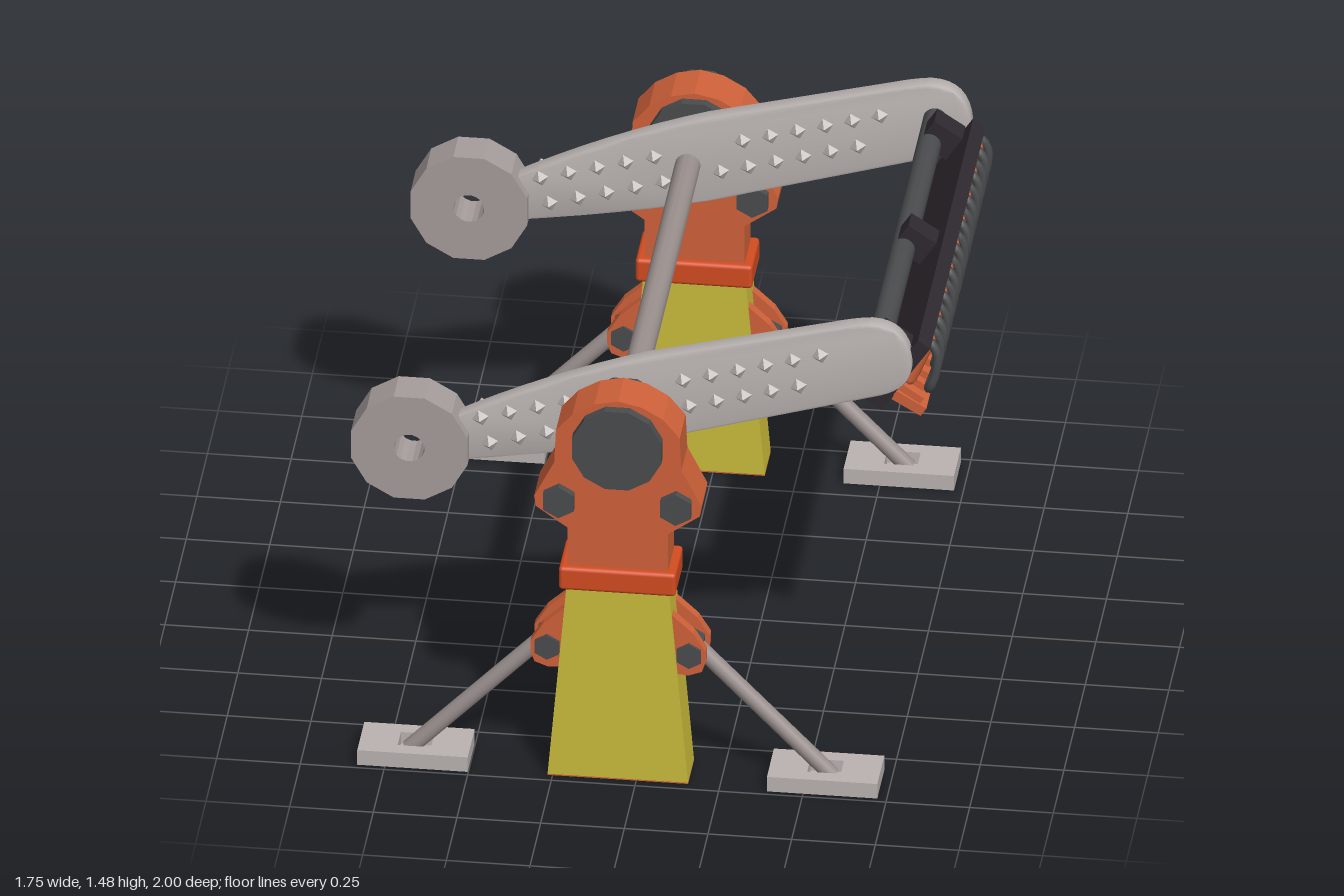
import * as THREE from 'three';
import { toCreasedNormals } from 'three/addons/utils/BufferGeometryUtils.js';
import { RoundedBoxGeometry } from 'three/addons/geometries/RoundedBoxGeometry.js';

const mat = (name, color) => {
  const m = new THREE.MeshStandardMaterial({ color });
  m.name = name;
  return m;
};
const M = {
  yellow: mat('yellow', 0xcabb3b),
  orange: mat('orange', 0xd0623a),
  collar: mat('redOrange', 0xd44c20),
  dark: mat('darkGrey', 0x4a4c4d),
  black: mat('black', 0x2f292f),
  light: mat('lightGrey', 0xbab3b1),
  steel: mat('steel', 0x9a908e),
  weight: mat('weightGrey', 0xa59d9b),
};

const PX = -0.055, PY = 1.15; // pivot of the swinging arms
const TILT = -0.585;          // tilt of the seat row

function add(parent, name, geo, material, x = 0, y = 0, z = 0, rz = 0) {
  const m = new THREE.Mesh(geo, material);
  m.name = name;
  m.position.set(x, y, z);
  m.rotation.z = rz;
  parent.add(m);
  return m;
}
const shapeOf = (pts) => new THREE.Shape(pts.map(([x, y]) => new THREE.Vector2(x, y)));
// Extrude a shape, centred on z = 0
function slab(shape, depth, bevel = 0) {
  const g = new THREE.ExtrudeGeometry(shape, {
    depth: depth - 2 * bevel, bevelEnabled: bevel > 0, bevelSize: bevel,
    bevelThickness: bevel, bevelOffset: -bevel, bevelSegments: 2, curveSegments: 8,
  });
  return g.translate(0, 0, -(depth - 2 * bevel) / 2);
}
// Cylinder lying along z; few sides stay faceted
function zCylinder(r, length, sides) {
  const g = new THREE.CylinderGeometry(r, r, length, sides, 1, false, Math.PI / sides);
  return toCreasedNormals(g.rotateX(Math.PI / 2), 0.5);
}
const ngon = (r, n) => Array.from({ length: n }, (_, i) => {
  const a = ((i + 0.5) / n) * Math.PI * 2;
  return [r * Math.cos(a), r * Math.sin(a)];
});
// Round bar between two points
function bar(parent, name, a, b, r, material) {
  const d = b.clone().sub(a);
  const m = add(parent, name, new THREE.CylinderGeometry(r, r, d.length(), 16), material);
  m.position.copy(a).addScaledVector(d, 0.5);
  m.quaternion.setFromUnitVectors(new THREE.Vector3(0, 1, 0), d.normalize());
}

// Support tower, symmetrical about its own x = 0 and z = 0
function tower() {
  const g = new THREE.Group();
  g.name = 'supportTower';
  add(g, 'pylon', slab(shapeOf([[-0.21, 0.004], [0.21, 0.004], [0.153, 0.66], [-0.153, 0.66]]), 0.14), M.yellow);
  add(g, 'pylonBase', new THREE.BoxGeometry(0.42, 0.004, 0.14), M.orange, 0, 0.002);
  add(g, 'collar', new RoundedBoxGeometry(0.35, 0.078, 0.18, 2, 0.012), M.collar, 0, 0.69);

  const half = [[0.15, 0.72], [0.15, 0.857], [0.245, 0.925], [0.25, 0.96], [0.19, 1.08],
    [0.185, 1.19], [0.135, 1.25], [0.07, 1.288]];
  const mirrored = half.map(([x, y]) => [-x, y]).reverse();
  add(g, 'bearingHead', slab(shapeOf([...half, [0, 1.303], ...mirrored]), 0.14), M.orange);
  add(g, 'bearingCap', zCylinder(0.138, 0.2, 12), M.dark, 0, PY);

  for (const s of [-1, 1]) {
    add(g, 'headBolt', zCylinder(0.053, 0.19, 6), M.dark, s * 0.175, 0.955, 0, Math.PI / 6);
    // Pairs of bracket plates that hold the strut
    const pts = [[0.15, 0.375], [0.21, 0.37], [0.25, 0.385], [0.262, 0.42], [0.262, 0.455], [0.225, 0.515], [0.16, 0.575]]
      .map(([x, y]) => [s * x, y]);
    for (const z of [-0.047, 0.047]) add(g, 'strutBracket', slab(shapeOf(pts), 0.032), M.orange, 0, 0, z);
    add(g, 'strutBolt', zCylinder(0.042, 0.145, 6), M.dark, s * 0.212, 0.44, 0, Math.PI / 6);
    bar(g, 'strut', new THREE.Vector3(s * 0.212, 0.455, 0), new THREE.Vector3(s * 0.632, 0.022, 0), 0.025, M.steel);
    // Foot with a recessed socket
    const foot = shapeOf([[-0.165, -0.083], [0.165, -0.083], [0.165, 0.083], [-0.165, 0.083]]);
    foot.holes.push(shapeOf([[-0.05, -0.038], [-0.05, 0.038], [0.05, 0.038], [0.05, -0.038]]));
    add(g, 'foot', slab(foot, 0.04).rotateX(-Math.PI / 2), M.light, s * 0.612, 0.03);
    add(g, 'footSole', new THREE.BoxGeometry(0.33, 0.01, 0.166), M.light, s * 0.612, 0.005);
  }
  return g;
}

// Swinging arm with its counterweight and studs
function arm() {
  const g = new THREE.Group();
  g.name = 'swingArm';
  const s = new THREE.Shape();
  s.moveTo(-0.6, 0.915);
  s.quadraticCurveTo(-0.1, 0.985, 0.13, 1.065);
  s.lineTo(0.7, 1.235);
  s.quadraticCurveTo(0.79, 1.265, 0.792, 1.345);
  s.quadraticCurveTo(0.782, 1.475, 0.67, 1.476);
  s.quadraticCurveTo(0.62, 1.472, 0.55, 1.452);
  s.lineTo(0.0, 1.31);
  s.quadraticCurveTo(-0.3, 1.215, -0.6, 1.05);
  add(g, 'armBeam', toCreasedNormals(slab(s, 0.056, 0.007), 0.6), M.light);

  const w = shapeOf(ngon(0.18, 12));
  w.holes.push(shapeOf(ngon(0.046, 16)));
  add(g, 'counterweight', slab(w, 0.12), M.weight, -0.705, 0.97);

  const stud = toCreasedNormals(new THREE.OctahedronGeometry(0.026), 0.1);
  for (const [x0, y0, right] of [[-0.495, 1.077, 0.11], [-0.467, 0.993, 0.045]]) {
    for (let i = 0; i < 11; i++) {
      const x = i < 5 ? x0 + i * 0.085 : right + (i - 5) * 0.082;
      const y = y0 + (x - x0) * 0.286;
      for (const z of [-0.037, 0.037]) add(g, 'stud', stud, M.light, x, y, z, 0.28);
    }
  }
  return g;
}

// One seat with backrest, cushion and shoulder restraint
function seat() {
  const g = new THREE.Group();
  g.name = 'seat';
  const back = new THREE.CapsuleGeometry(0.026, 0.14, 4, 10);
  add(g, 'seatBack', back, M.orange, 0.796, 1.305, 0, -0.4);
  const cushion = shapeOf([[-0.07, -0.063], [0.065, -0.052], [0.065, 0.052], [-0.07, 0.063]]);
  add(g, 'seatCushion', slab(cushion, 0.032).rotateX(-Math.PI / 2), M.orange, 0.765, 1.186, 0, TILT);
  for (const z of [-0.036, 0.036]) {
    add(g, 'cushionSide', new THREE.BoxGeometry(0.09, 0.03, 0.022), M.orange, 0.775, 1.207, z, TILT);
  }
  const side = [[0.8, 1.35, 0.03], [0.832, 1.385, 0.033], [0.856, 1.35, 0.036], [0.853, 1.28, 0.036], [0.836, 1.225, 0.03]];
  const path = [...side, [0.828, 1.208, 0], ...side.map(([x, y, z]) => [x, y, -z]).reverse()];
  const curve = new THREE.CatmullRomCurve3(path.map((p) => new THREE.Vector3(...p)));
  add(g, 'shoulderRestraint', new THREE.TubeGeometry(curve, 36, 0.0145, 8), M.dark);
  return g;
}

// Row of seats hung between the arm ends
function gondola() {
  const g = new THREE.Group();
  g.name = 'gondola';
  const mid = 0.05;
  add(g, 'crossShaft', zCylinder(0.036, 1.4, 20), M.dark, 0.685, 1.365);
  add(g, 'backPanel', new THREE.BoxGeometry(0.045, 0.25, 1.3), M.black, 0.757, 1.302, mid, TILT);
  add(g, 'lowerBeam', new THREE.BoxGeometry(0.06, 0.06, 1.3), M.black, 0.692, 1.212, mid, TILT);
  for (const z of [-0.61, 0, 0.61]) {
    add(g, 'shaftClamp', new THREE.BoxGeometry(0.1, 0.09, 0.075), M.black, 0.718, 1.38, mid + z, TILT);
  }
  for (let i = 0; i < 9; i++) {
    const s = seat();
    s.position.z = mid + (i - 4) * 0.14;
    g.add(s);
  }
  return g;
}

export function createModel() {
  const model = new THREE.Group();
  model.name = 'swingRide';
  for (const s of [-1, 1]) {
    const t = tower();
    t.position.set(PX, 0, s * 0.9);
    const a = arm();
    a.position.z = s * 0.7;
    model.add(t, a);
  }
  add(model, 'axle', zCylinder(0.038, 1.62, 20), M.steel, PX, PY);
  model.add(gondola());
  return model;
}
